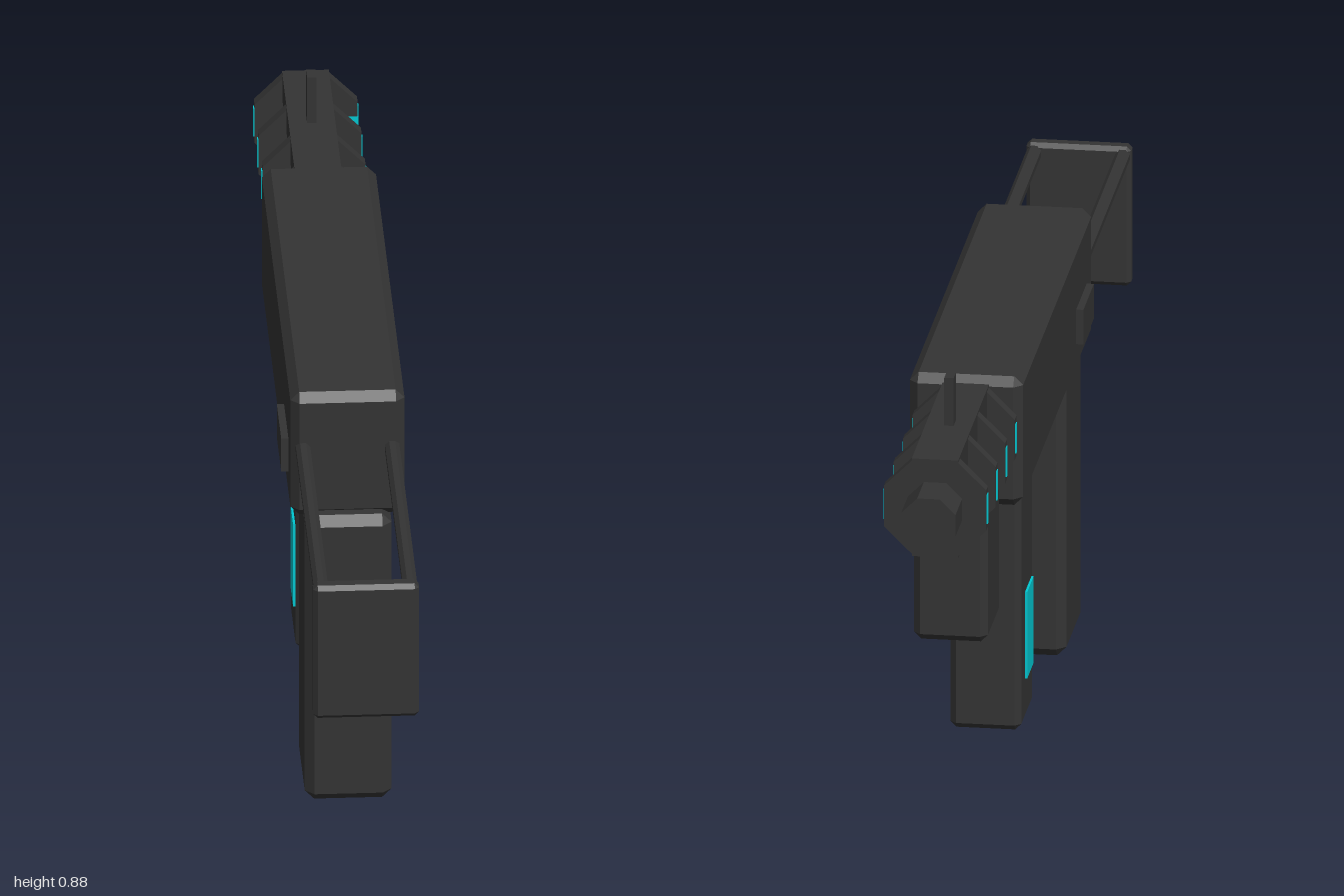
import * as THREE from 'three';
import { ConvexGeometry } from 'three/addons/geometries/ConvexGeometry.js';

const CX = 0.005; // symmetry plane of the main parts
const BARREL_Y = 0.694;

export function createModel() {
  const group = new THREE.Group();
  const gunmetal = new THREE.MeshStandardMaterial({ color: 0x343434 });
  const teal = new THREE.MeshStandardMaterial({ color: 0x00c8d2 });
  gunmetal.name = 'gunmetal';
  teal.name = 'glowTeal';

  const add = (name, geometry, material = gunmetal) => {
    const mesh = new THREE.Mesh(geometry, material);
    mesh.name = name;
    group.add(mesh);
    return mesh;
  };

  // Box given by its limits
  const box = (name, [x0, x1], [y0, y1], [z0, z1], material) =>
    add(name, new THREE.BoxGeometry(x1 - x0, y1 - y0, z1 - z0), material)
      .position.set((x0 + x1) / 2, (y0 + y1) / 2, (z0 + z1) / 2);

  // Box given by its limits, with every edge chamfered by c
  const chamferBox = (name, [x0, x1], [y0, y1], [z0, z1], c) => {
    const half = [(x1 - x0) / 2, (y1 - y0) / 2, (z1 - z0) / 2];
    const points = [];
    for (const sx of [-1, 1]) for (const sy of [-1, 1]) for (const sz of [-1, 1])
      for (let axis = 0; axis < 3; axis++) {
        const h = half.map((v, i) => (i === axis ? v : v - c));
        points.push(new THREE.Vector3(sx * h[0], sy * h[1], sz * h[2]));
      }
    add(name, new ConvexGeometry(points))
      .position.set((x0 + x1) / 2, (y0 + y1) / 2, (z0 + z1) / 2);
  };

  // Flat-shaded octagonal bar along z, with flats at top and sides
  const octagon = (name, apothem, x, y, z0, z1) => {
    const r = apothem / Math.cos(Math.PI / 8);
    const g = new THREE.CylinderGeometry(r, r, z1 - z0, 8, 1, false, Math.PI / 8)
      .rotateX(Math.PI / 2).toNonIndexed();
    g.computeVertexNormals();
    add(name, g).position.set(x, y, (z0 + z1) / 2);
  };

  // Receiver, grips and magazine
  chamferBox('receiver', [-0.097, 0.108], [0.555, 0.8], [-0.512, 0.412], 0.016);
  chamferBox('rearGrip', [-0.073, 0.083], [0, 0.568], [0.23, 0.445], 0.017);
  chamferBox('magazine', [CX - 0.064, CX + 0.064], [0.035, 0.56], [-0.256, -0.093], 0.011);
  chamferBox('foreGrip', [CX - 0.067, CX + 0.067], [0.368, 0.622], [-0.717, -0.548], 0.013);
  box('magazineWindow', [CX - 0.068, CX - 0.062], [0.115, 0.28], [-0.195, -0.112], teal);
  box('sideButton', [-0.11, -0.09], [0.612, 0.678], [0.2, 0.338]);

  // Trigger, tapering downwards
  const trigger = new THREE.CylinderGeometry(0.036 * Math.SQRT2, 0.021 * Math.SQRT2, 0.1, 4, 1, false, Math.PI / 4)
    .scale(0.5, 1, 1).toNonIndexed();
  trigger.computeVertexNormals();
  add('trigger', trigger).position.set(CX, 0.514, 0.125);

  // Wire stock with shoulder plate
  for (const x of [-0.075, 0.085]) octagon('stockRod', 0.013, x, 0.692, 0.4, 0.98);
  chamferBox('shoulderPlate', [-0.09, 0.1], [0.445, 0.71], [0.966, 1], 0.008);

  // Barrel with upper and lower shroud rails
  octagon('barrel', 0.049, CX, BARREL_Y, -1, -0.5);
  box('upperRail', [CX - 0.042, CX + 0.042], [0.735, 0.787], [-0.913, -0.5]);
  box('lowerRail', [CX - 0.042, CX + 0.042], [0.601, 0.653], [-0.913, -0.5]);

  // Cooling rings with lit side strips
  for (const z of [-0.526, -0.651, -0.776, -0.901]) {
    octagon('coolingRing', 0.0925, CX, BARREL_Y, z - 0.012, z + 0.012);
    for (const side of [-1, 1]) {
      const x = CX + side * 0.0925;
      box('ringLight', [x - 0.002, x + 0.002], [BARREL_Y - 0.028, BARREL_Y + 0.028], [z - 0.005, z + 0.006], teal);
    }
  }
  box('rearRingLight', [0.06, 0.099], [BARREL_Y - 0.01, BARREL_Y + 0.01], [-0.89, -0.886], teal);

  // Sight post
  box('sightPost', [-0.004, 0.013], [0.78, 0.878], [-0.734, -0.702]);

  return group;
}
